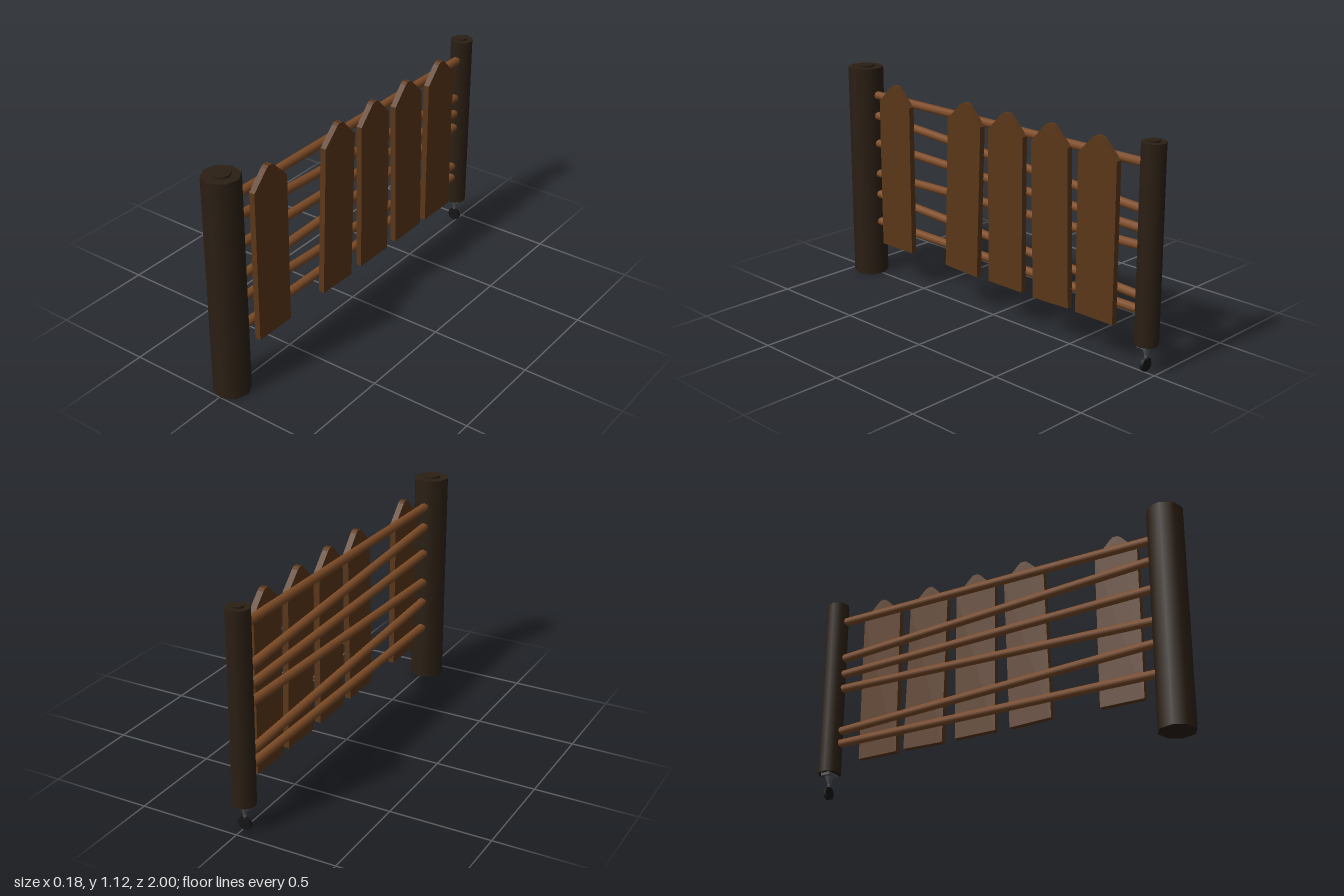
import * as THREE from 'three';

const mat = (color) => new THREE.MeshStandardMaterial({ color });

export function createModel() {
  const root = new THREE.Group();
  const bark = mat(0x2b1f14), railWood = mat(0x7d4b26), plankWood = mat(0x5a3719);
  const steel = mat(0x55555a), rubber = mat(0x151515);

  const add = (name, geometry, material, x, y, z, parent = root) => {
    const mesh = new THREE.Mesh(geometry, material);
    mesh.name = name;
    mesh.position.set(x, y, z);
    parent.add(mesh);
    return mesh;
  };

  // Eight-sided posts, each with a small raised disc on top
  const post = (name, r, y0, y1, x, z) => {
    const group = new THREE.Group();
    group.name = name;
    const trunk = add(name + 'Trunk', new THREE.CylinderGeometry(r, r, y1 - y0, 8), bark, x, (y0 + y1) / 2, z, group);
    const cap = add(name + 'Cap', new THREE.CylinderGeometry(r * 0.5, r * 0.5, 0.02, 8), bark, x, y1, z, group);
    trunk.rotation.y = cap.rotation.y = 0.12;
    root.add(group);
  };
  post('hingePost', 0.089, 0, 1.11, 0, 0.911);
  post('swingingPost', 0.058, 0.135, 1.07, -0.01, -0.942);

  // Rails: height at the hinge post, height at the swinging post
  const rails = [[0.97, 0.97], [0.862, 0.76], [0.715, 0.67], [0.552, 0.59], [0.44, 0.357], [0.29, 0.29]];
  rails.forEach(([ya, yb], i) => {
    const path = new THREE.LineCurve3(new THREE.Vector3(0, ya, 0.83), new THREE.Vector3(0, yb, -0.89));
    const geometry = new THREE.CylinderGeometry(0.022, 0.022, path.getLength(), 8);
    const rail = add('rail' + (i + 1), geometry, railWood, -0.004, (ya + yb) / 2, -0.03);
    rail.quaternion.setFromUnitVectors(new THREE.Vector3(0, 1, 0), path.getTangent(0).negate());
  });

  // Pointed planks: centre z and lean
  const outline = new THREE.Shape([
    [-0.11, -0.43], [0.11, -0.43], [0.11, 0.335], [0.027, 0.42],
    [0.012, 0.43], [-0.012, 0.43], [-0.027, 0.42], [-0.11, 0.335],
  ].map(([u, v]) => new THREE.Vector2(u, v)));
  const planks = [[0.648, 0], [0.164, 0.035], [-0.12, 0], [-0.402, -0.026], [-0.677, 0]];
  planks.forEach(([z, lean], i) => {
    const geometry = new THREE.ExtrudeGeometry(outline, { depth: 0.03, bevelEnabled: false });
    geometry.rotateZ(-lean).rotateY(Math.PI / 2);
    add('plank' + (i + 1), geometry, plankWood, 0.015, 0.625, z);
  });

  // Caster under the swinging post
  const caster = new THREE.Group();
  caster.name = 'caster';
  caster.position.set(-0.01, 0, -0.942);
  root.add(caster);
  add('casterPlate', new THREE.BoxGeometry(0.075, 0.014, 0.05), steel, 0, 0.128, 0, caster);
  add('casterNeck', new THREE.CylinderGeometry(0.023, 0.009, 0.04, 8), steel, 0, 0.102, 0, caster);
  add('casterStem', new THREE.CylinderGeometry(0.009, 0.007, 0.05, 8), steel, 0, 0.065, 0, caster);
  const wheel = add('casterWheel', new THREE.CylinderGeometry(0.034, 0.034, 0.015, 8), rubber, 0, 0.034, 0, caster);
  wheel.rotation.x = Math.PI / 2;

  return root;
}
